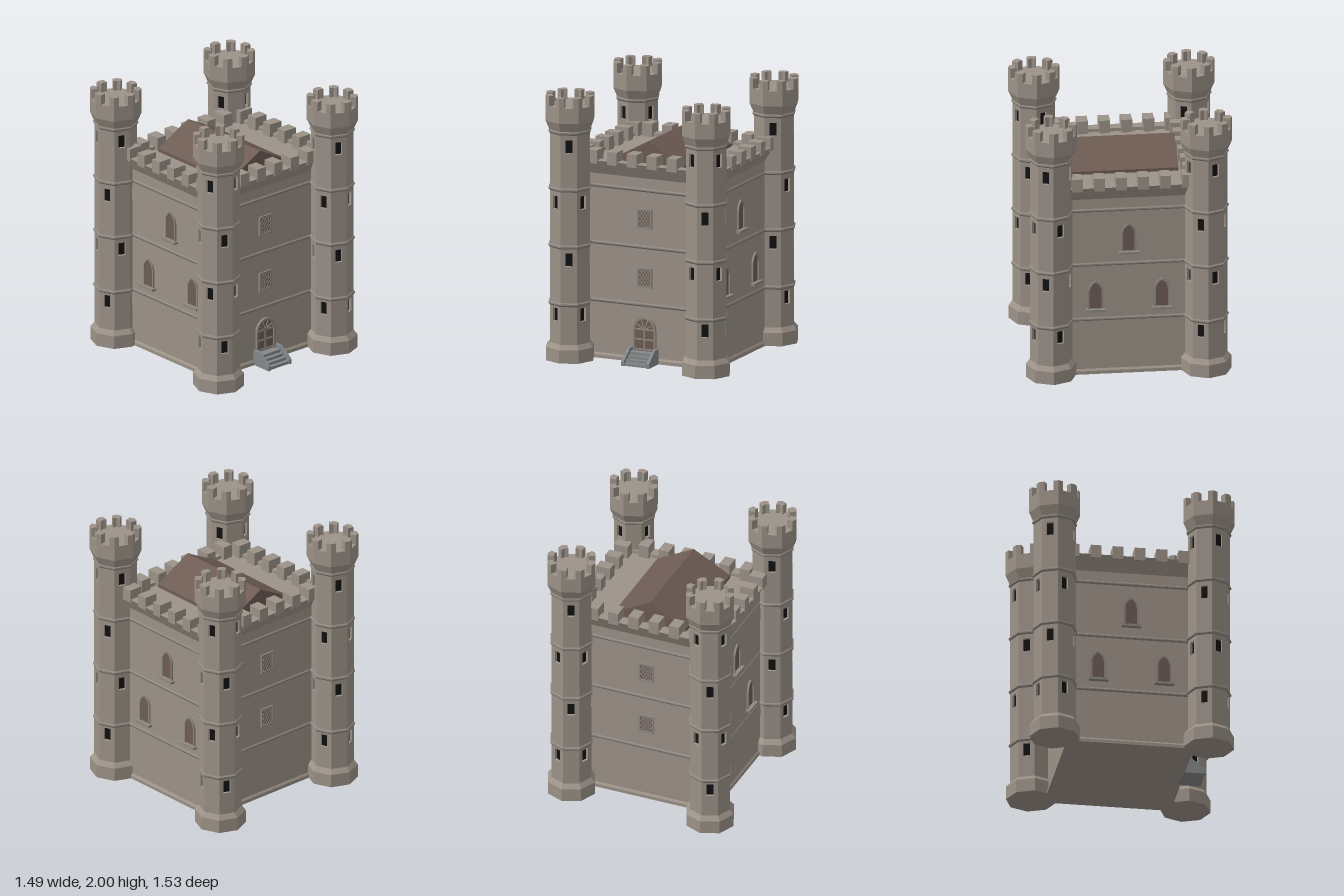
import * as THREE from 'three';

const mat = (color, side = THREE.FrontSide) =>
  new THREE.MeshStandardMaterial({ color, side, flatShading: true });
const STONE = mat(0x9c9288), TRIM = mat(0x8f877f), BROWN = mat(0x6e5c54);
const DARK = mat(0x111111), STEP = mat(0x84888a);

function add(parent, name, geometry, material, x = 0, y = 0, z = 0) {
  const mesh = new THREE.Mesh(geometry, material);
  mesh.name = name;
  mesh.position.set(x, y, z);
  parent.add(mesh);
  return mesh;
}
const box = (w, h, d) => new THREE.BoxGeometry(w, h, d);
const extrude = (shape, depth) =>
  new THREE.ExtrudeGeometry(shape, { depth, bevelEnabled: false, curveSegments: 5 });

function lathe(points, sides) {
  const g = new THREE.LatheGeometry(points.map(p => new THREE.Vector2(...p)), sides).toNonIndexed();
  g.computeVertexNormals();
  return g;
}

function rect(w, h, y = 0, Type = THREE.Shape) {
  const r = new Type();
  r.moveTo(-w / 2, y - h / 2);
  r.lineTo(w / 2, y - h / 2);
  r.lineTo(w / 2, y + h / 2);
  r.lineTo(-w / 2, y + h / 2);
  r.closePath();
  return r;
}

// Arch outline standing on y = 0: straight jambs, then a pointed or round head
function arch(a, spring, top, pointed, Type = THREE.Shape) {
  const s = new Type();
  s.moveTo(-a, 0);
  s.lineTo(a, 0);
  s.lineTo(a, spring);
  if (pointed) {
    s.quadraticCurveTo(a * 0.85, spring + (top - spring) * 0.7, 0, top);
    s.quadraticCurveTo(-a * 0.85, spring + (top - spring) * 0.7, -a, spring);
  } else s.absellipse(0, spring, a, top - spring, 0, Math.PI, false);
  s.closePath();
  return s;
}

function archFrame(a, spring, top, t, pointed, depth) {
  const s = arch(a, spring, top, pointed);
  s.holes.push(arch(a - t, spring, top - t, pointed, THREE.Path));
  return extrude(s, depth);
}

// Octagonal corner tower; turn (+1 or -1) sets which faces hold the windows
const R = 0.157;
function tower(turn) {
  const g = new THREE.Group();
  g.name = 'tower';
  add(g, 'towerFoot', lathe([[0, 0], [0.187, 0], [0.187, 0.1], [R, 0.135], [0, 0.135]], 8), STONE);
  add(g, 'towerCore', new THREE.CylinderGeometry(R - 0.024, R - 0.024, 1.62, 8, 1, true), DARK, 0, 0.93);
  for (const y of [0.435, 0.87, 1.3, 1.73])
    add(g, 'towerBelt', lathe([[0.14, y - 0.015], [R, y - 0.015], [0.167, y - 0.004],
      [0.167, y + 0.006], [R, y + 0.015], [0.14, y + 0.015]], 8), TRIM);
  add(g, 'towerCrown', lathe([[0, 1.735], [R, 1.735], [0.19, 1.81], [0.19, 1.925], [0, 1.925]], 8), STONE);

  // wall faces with window openings on alternating storeys
  for (let k = 0; k < 8; k++) {
    const panel = rect(2 * R * Math.sin(Math.PI / 8), 1.63, 0.935);
    const high = (k % 2 === 0) === (turn < 0);
    for (const y of high ? [1.63, 0.775] : [1.2, 0.355])
      panel.holes.push(rect(0.052, 0.1, y, THREE.Path));
    const face = new THREE.Group();
    face.name = 'towerFace';
    face.rotation.y = Math.PI / 8 + k * Math.PI / 4;
    add(face, 'towerWall', extrude(panel, 0.02), STONE, 0, 0, R * Math.cos(Math.PI / 8) - 0.02);
    g.add(face);
  }

  // bent merlons wrapped round the corners
  const c = Math.cos(Math.PI / 8), s = Math.sin(Math.PI / 8), L = 0.038;
  const o = 0.19, i = 0.14;
  const m = new THREE.Shape([[0, o], [-L * c, o - L * s], [-L * c * 0.75, i - L * s * 0.75],
    [0, i], [L * c * 0.75, i - L * s * 0.75], [L * c, o - L * s]].map(p => new THREE.Vector2(...p)));
  const merlon = extrude(m, 0.08).rotateX(-Math.PI / 2);
  for (let k = 0; k < 8; k++)
    add(g, 'towerMerlon', merlon, STONE, 0, 1.92).rotation.y = k * Math.PI / 4;
  return g;
}

// Rectangular ring from (half width, y) pairs; the z half width is 0.075 less
function rectLathe(profile) {
  const g = lathe(profile.map(([w, y]) => [w * Math.SQRT2, y]), 4).rotateY(Math.PI / 4);
  const p = g.attributes.position;
  for (let i = 0; i < p.count; i++)
    p.setZ(i, Math.sign(p.getZ(i)) * Math.max(0, Math.abs(p.getZ(i)) - 0.075));
  g.computeVertexNormals();
  return g;
}

// Square window with a diamond lattice
function latticeWindow() {
  const g = new THREE.Group(), w = 0.118, h = 0.15, t = 0.012, m = 1.5;
  g.name = 'latticeWindow';
  const frame = rect(w, h);
  frame.holes.push(rect(w - 2 * t, h - 2 * t, 0, THREE.Path));
  add(g, 'latticeFrame', extrude(frame, 0.012), TRIM);
  add(g, 'latticePane', box(w - t, h - t, 0.004), BROWN, 0, 0, 0.001);
  const W = w / 2 - t, H = h / 2 - t;
  for (const s of [-1, 1])
    for (let c = -0.12; c < 0.13; c += 0.04) {
      // clip the line y = s*m*x + c to the opening
      const ends = [(-H - c) / (s * m), (H - c) / (s * m)].sort((a, b) => a - b);
      const x0 = Math.max(-W, ends[0]), x1 = Math.min(W, ends[1]);
      if (x1 - x0 < 0.005) continue;
      const x = (x0 + x1) / 2;
      add(g, 'latticeBar', box((x1 - x0) * Math.hypot(1, m), 0.006, 0.005), TRIM,
        x, s * m * x + c, 0.005).rotation.z = Math.atan(s * m);
    }
  return g;
}

function archedWindow() {
  const g = new THREE.Group();
  g.name = 'archedWindow';
  add(g, 'archPane', extrude(arch(0.05, 0.15, 0.22, true), 0.004), BROWN);
  add(g, 'archFrame', archFrame(0.056, 0.15, 0.23, 0.012, true, 0.014), TRIM);
  add(g, 'windowSill', box(0.145, 0.018, 0.05), TRIM, 0, 0, 0.01);
  return g;
}

function door() {
  const g = new THREE.Group();
  g.name = 'door';
  add(g, 'doorLeaf', extrude(arch(0.085, 0.25, 0.335, false), 0.005), BROWN);
  add(g, 'doorFrame', archFrame(0.092, 0.25, 0.345, 0.016, false, 0.018), TRIM);
  add(g, 'doorPost', box(0.012, 0.25, 0.012), TRIM, 0, 0.125, 0.006);
  for (const y of [0.1, 0.175, 0.25]) add(g, 'doorRail', box(0.16, 0.012, 0.012), TRIM, 0, y, 0.006);
  for (const a of [30, 70, 110, 150].map(THREE.MathUtils.degToRad))
    add(g, 'fanRib', box(0.08, 0.009, 0.012), TRIM,
      0.04 * Math.cos(a), 0.25 + 0.04 * Math.sin(a), 0.006).rotation.z = a;
  return g;
}

function steps() {
  const g = new THREE.Group();
  g.name = 'steps';
  for (let i = 0; i < 4; i++) {
    const d = 0.155 - i * 0.03, h = 0.022 * (i + 1);
    add(g, 'step', box(0.19, h, d), STEP, 0, h / 2, d / 2);
  }
  const side = new THREE.Shape([[0, 0], [0.165, 0], [0.165, 0.035], [0.06, 0.115], [0, 0.115]]
    .map(p => new THREE.Vector2(...p)));
  for (const x of [-0.113, 0.091])
    add(g, 'stepCheek', extrude(side, 0.022).rotateY(-Math.PI / 2).translate(0.022, 0, 0), STEP, x);
  return g;
}

export function createModel() {
  const model = new THREE.Group();
  model.name = 'castleKeep';

  for (const sx of [-1, 1]) for (const sz of [-1, 1]) {
    const t = tower(sx * sz);
    t.position.set(0.555 * sx, 0, 0.573 * sz);
    model.add(t);
  }

  // keep: walls, sloped corbel, low parapet and deck in one profile
  const keep = new THREE.Group();
  keep.name = 'keep';
  keep.position.set(0.02, 0, -0.006);
  model.add(keep);
  add(keep, 'keepWalls', rectLathe([[0.075, 0], [0.547, 0], [0.547, 0.025], [0.535, 0.04], [0.535, 1.39],
    [0.595, 1.5], [0.515, 1.5], [0.515, 1.475], [0.075, 1.475]]), STONE);
  for (const y of [0.435, 0.87, 1.3])
    add(keep, 'wallBelt', rectLathe([[0.53, y - 0.014], [0.535, y - 0.014], [0.543, y - 0.004],
      [0.543, y + 0.005], [0.535, y + 0.014], [0.53, y + 0.014]]), TRIM);

  // merlons along the four parapets
  for (let k = 0; k < 6; k++) for (const s of [-1, 1]) {
    add(keep, 'parapetMerlon', box(0.081, 0.1, 0.11), STONE, -0.425 + 0.162 * k, 1.525, s * 0.465);
    add(keep, 'parapetMerlon', box(0.11, 0.1, 0.08), STONE, s * 0.54, 1.525, -0.424 + 0.163 * k);
  }

  // gabled roof
  const gable = new THREE.Shape([[-0.29, 1.47], [0.29, 1.47], [0.29, 1.5], [0, 1.655], [-0.29, 1.5]]
    .map(p => new THREE.Vector2(...p)));
  add(model, 'roof', extrude(gable, 0.8), BROWN, 0, 0, -0.4);

  // openings on each wall
  const place = (part, x, y, z, turn) => {
    part.position.set(x, y, z);
    part.rotation.y = turn;
    model.add(part);
  };
  for (const y of [0.64, 1.085]) {
    place(latticeWindow(), 0, y, 0.454, 0);
    place(latticeWindow(), 0, y, -0.466, Math.PI);
  }
  for (const [z, y] of [[0, 0.96], [0.245, 0.51], [-0.245, 0.51]]) {
    place(archedWindow(), 0.555, y, z, Math.PI / 2);
    place(archedWindow(), -0.515, y, z, -Math.PI / 2);
  }
  place(door(), 0, 0, 0.454, 0);
  place(steps(), 0, 0, 0.46, 0);
  return model;
}
